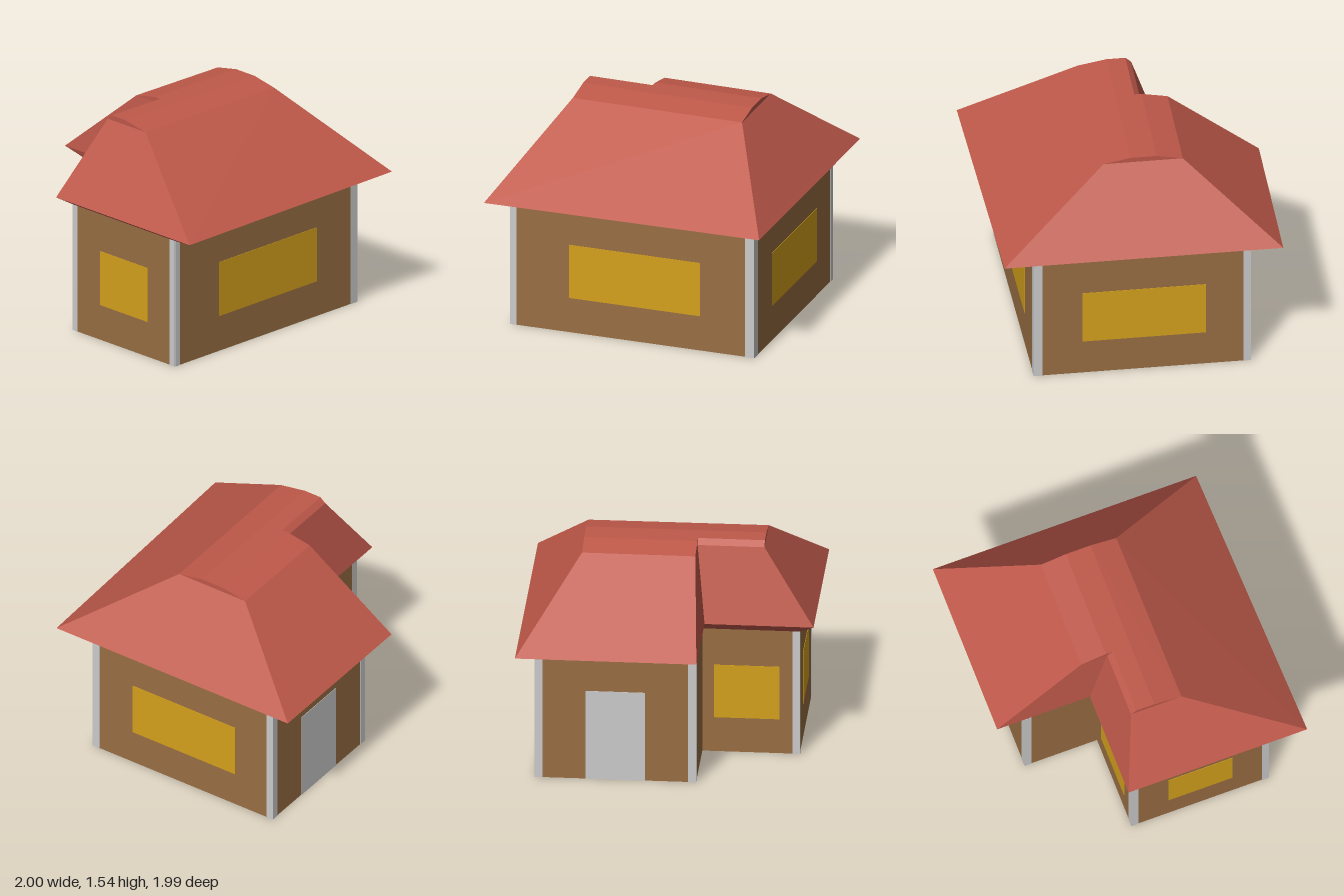
import * as THREE from 'three';

const WALL_TOP = 0.92, EAVE = 0.98, LOW = 1.505, RIDGE = 1.54;

// L-shaped outlines as [x, z], walking from the front -x corner
const WALL = [[-0.9, 0.745], [0.88, 0.71], [0.88, -0.79], [-0.23, -0.79], [-0.23, -0.26], [-0.9, -0.26]];
const EAVES = [[-1, 0.99], [1, 0.93], [1, -1], [-0.25, -1], [-0.25, -0.32], [-1, -0.32]];

const material = (color) => new THREE.MeshStandardMaterial({ color, flatShading: true, side: THREE.DoubleSide });
const brown = material(0x996e43);
const red = material(0xbf594a);
const yellow = material(0xd4a11d);
const grey = material(0xcccccc);

function addMesh(parent, name, geometry, mat) {
  const mesh = new THREE.Mesh(geometry, mat);
  mesh.name = name;
  parent.add(mesh);
  return mesh;
}

// Outward unit normal and length of wall i
function edge(i) {
  const a = WALL[i], b = WALL[(i + 1) % 6];
  const dx = b[0] - a[0], dz = b[1] - a[1], length = Math.hypot(dx, dz);
  return { a, length, ux: dx / length, uz: dz / length, nx: -dz / length, nz: dx / length };
}

// Wall outline moved inwards by a thickness, mitred at the corners
function inset(t) {
  return WALL.map(([x, z], i) => {
    const p = edge((i + 5) % 6), q = edge(i);
    const k = t / (1 + p.nx * q.nx + p.nz * q.nz);
    return [x - (p.nx + q.nx) * k, z - (p.nz + q.nz) * k];
  });
}

const toPoints = (outline) => outline.map(([x, z]) => new THREE.Vector2(x, -z));

// Flat polygons, each split into a fan of triangles
function polygons(faces) {
  const pos = [];
  for (const f of faces)
    for (let i = 1; i < f.length - 1; i++) pos.push(...f[0], ...f[i], ...f[i + 1]);
  const g = new THREE.BufferGeometry();
  g.setAttribute('position', new THREE.Float32BufferAttribute(pos, 3));
  g.computeVertexNormals();
  return g;
}

// Thin panel on wall i, from distance s0 to s1 along it
function panel(parent, name, i, s0, s1, y0, y1, mat) {
  const e = edge(i), s = (s0 + s1) / 2;
  const mesh = addMesh(parent, name, new THREE.BoxGeometry(s1 - s0, y1 - y0, 0.006), mat);
  mesh.position.set(e.a[0] + e.ux * s, (y0 + y1) / 2, e.a[1] + e.uz * s);
  mesh.rotation.y = Math.atan2(e.nx, e.nz);
}

function buildWalls(group) {
  // Hollow walls, open below
  const shape = new THREE.Shape(toPoints(WALL));
  shape.holes.push(new THREE.Path(toPoints(inset(0.06))));
  const walls = new THREE.ExtrudeGeometry(shape, { depth: WALL_TOP, bevelEnabled: false });
  addMesh(group, 'walls', walls.rotateX(-Math.PI / 2), brown);

  // Ceiling
  const ceiling = new THREE.ShapeGeometry(new THREE.Shape(toPoints(inset(0.05))));
  ceiling.rotateX(-Math.PI / 2).translate(0, WALL_TOP - 0.01, 0);
  addMesh(group, 'ceiling', ceiling, brown);

  // Corner trims on both faces of each outer corner: [start width, end width]
  const trims = [[0.045, 0.065], [0.06, 0.05], [0.055, 0.055], [0.05, 0], [0, 0.05], [0.05, 0.05]];
  trims.forEach(([start, end], i) => {
    const { length } = edge(i);
    if (start) panel(group, 'cornerTrim', i, 0, start, 0, WALL_TOP, grey);
    if (end) panel(group, 'cornerTrim', i, length - end, length, 0, WALL_TOP, grey);
  });

  // Windows and door
  panel(group, 'frontWindow', 0, 0.43, 1.385, 0.255, 0.65, yellow);
  panel(group, 'sideWindow', 1, 0.335, 1.19, 0.255, 0.65, yellow);
  panel(group, 'backWindow', 4, 0.08, 0.53, 0.255, 0.65, yellow);
  panel(group, 'sideWindow', 5, 0.27, 0.74, 0.255, 0.65, yellow);
  panel(group, 'door', 2, 0.35, 0.76, 0, 0.66, grey);
}

function buildRoof(group) {
  const E = EAVES.map(([x, z]) => [x, EAVE, z]);
  const W = WALL.map(([x, z]) => [x, WALL_TOP, z]);
  const L = -0.65, M = -0.19, R = 0.59;
  const low = (x, z) => [x, LOW, z];
  const top = (x, z) => [x, RIDGE, z];
  const FL = low(L, 0.2), FR = low(R, 0.19), BR = low(R, -0.36), BM = low(M, -0.36);
  const NM = low(M, -0.17), NL = low(L, -0.17);

  // Main slopes
  addMesh(group, 'roofSlopes', polygons([
    [E[0], E[1], FR, FL],
    [E[1], E[2], BR, FR],
    [E[2], E[3], BM, BR],
    [E[3], E[4], NM, BM],
    [E[4], E[5], NL, NM],
    [E[5], E[0], FL, NL],
  ]), red);

  // Shallow ridge cap with upright ends
  addMesh(group, 'roofRidge', polygons([
    [FL, FR, top(R, 0), top(L, 0)],
    [top(L, 0), top(R, 0), top(R, -0.13), top(L, -0.13)],
    [top(M, -0.13), top(R, -0.13), top(R, -0.18), top(M, -0.18)],
    [BR, BM, top(M, -0.18), top(R, -0.18)],
    [NM, NL, top(L, -0.13), top(M, -0.13)],
    [FR, BR, top(R, -0.18), top(R, 0)],
    [NL, FL, top(L, 0), top(L, -0.13)],
    [BM, NM, top(M, -0.13), top(M, -0.18)],
  ]), red);

  // Sloping underside between eaves and walls
  addMesh(group, 'eavesUnderside', polygons(E.map((e, i) => {
    const j = (i + 1) % 6;
    return [E[j], e, W[i], W[j]];
  })), red);
}

export function createModel() {
  const house = new THREE.Group();
  house.name = 'house';
  buildWalls(house);
  buildRoof(house);
  return house;
}
